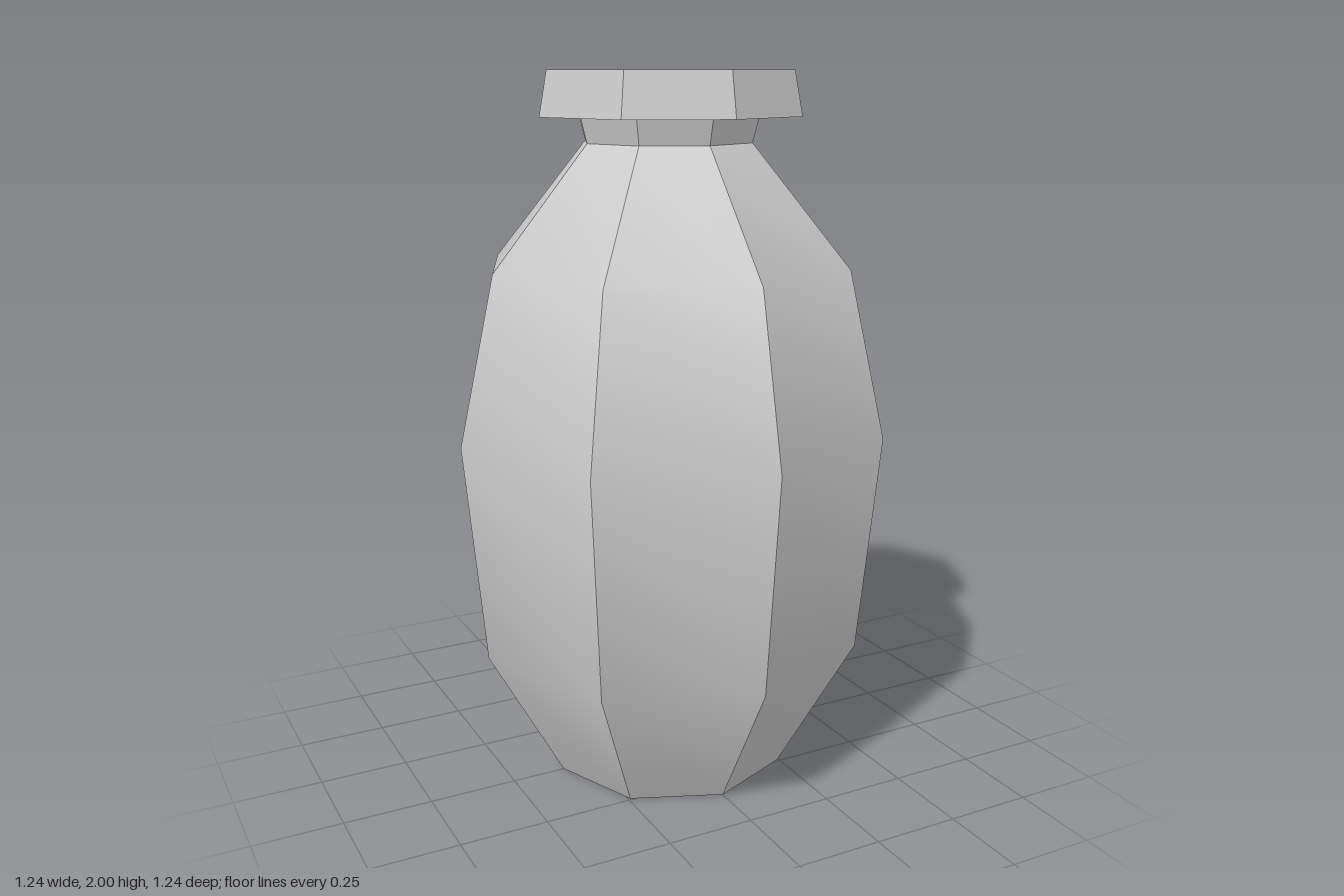
import * as THREE from 'three';
import { toCreasedNormals } from 'three/addons/utils/BufferGeometryUtils.js';

const material = new THREE.MeshStandardMaterial({ color: 0xcccccc, side: THREE.DoubleSide });

// Eight-sided thin shell turned from [radius, height] points, smooth only along each panel
function shell(name, profile) {
  const points = profile.map(([r, y]) => new THREE.Vector2(r, y));
  const geometry = toCreasedNormals(new THREE.LatheGeometry(points, 8), 0.55);
  const mesh = new THREE.Mesh(geometry, material);
  mesh.name = name;
  return mesh;
}

export function createModel() {
  const group = new THREE.Group();
  group.name = 'vase';

  // Swelling body, open underneath
  group.add(shell('body', [[0.345, 0], [0.565, 0.4], [0.622, 1.02], [0.517, 1.48], [0.24, 1.81]]));

  // Short neck, flaring slightly upward
  group.add(shell('neck', [[0.24, 1.81], [0.258, 1.88]]));

  // Flat floor of the mouth, overhanging the neck
  group.add(shell('mouthFloor', [[0.375, 1.88], [0.258, 1.88], [0, 1.88]]));

  // Thin raised collar around the mouth
  group.add(shell('rim', [[0.375, 1.88], [0.352, 2]]));

  return group;
}
